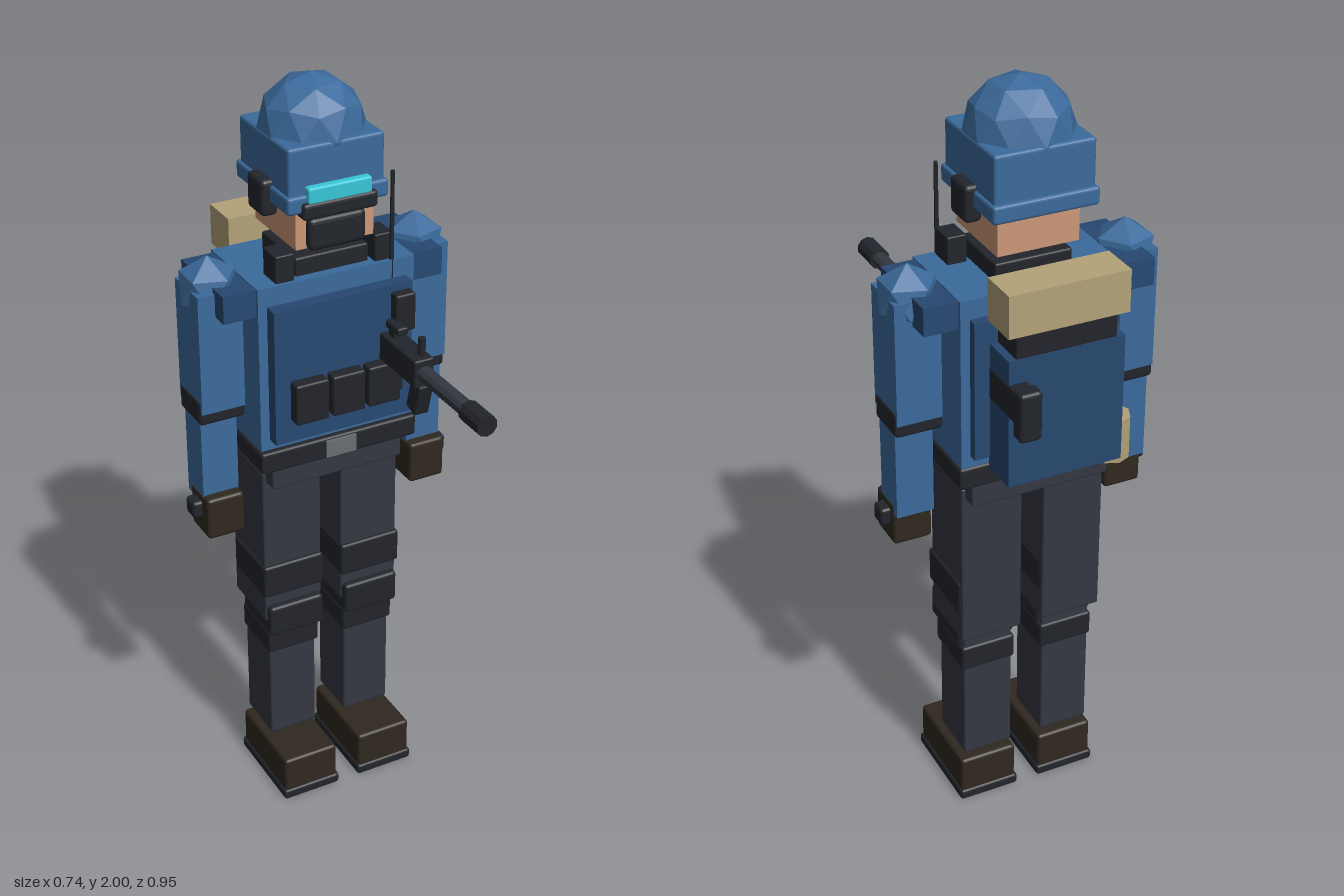
import * as THREE from 'three';
import { RoundedBoxGeometry } from 'three/addons/geometries/RoundedBoxGeometry.js';

const mat = (color) => new THREE.MeshStandardMaterial({ color, flatShading: true });
const M = {
  blue: mat(0x3b6a9b), navy: mat(0x274870), trouser: mat(0x343841), black: mat(0x22252b),
  brown: mat(0x30281f), tan: mat(0xb3a278), skin: mat(0xcb9878), visor: mat(0x38c6d8), steel: mat(0x6b6e72),
};

export function createModel() {
  const root = new THREE.Group();
  root.name = 'armouredTrooper';

  const add = (name, geo, m, x, y, z, parent = root) => {
    const mesh = new THREE.Mesh(geo, M[m]);
    mesh.name = name;
    mesh.position.set(x, y, z);
    parent.add(mesh);
    return mesh;
  };
  // Box given by its limits; r is the radius of softened edges
  const box = (name, m, [x0, x1], [y0, y1], [z0, z1], r = 0, parent = root) => {
    const s = [x1 - x0, y1 - y0, z1 - z0];
    const geo = r ? new RoundedBoxGeometry(...s, 2, r) : new THREE.BoxGeometry(...s);
    return add(name, geo, m, (x0 + x1) / 2, (y0 + y1) / 2, (z0 + z1) / 2, parent);
  };
  const group = (name) => {
    const g = new THREE.Group();
    g.name = name;
    root.add(g);
    return g;
  };

  // Legs and arms, mirrored
  for (const s of [1, -1]) {
    const side = s > 0 ? 'left' : 'right';
    const leg = group(side + 'Leg');
    const X = (a, b) => (s > 0 ? [a, b] : [-b, -a]);
    box('sole', 'black', X(0.03, 0.197), [0, 0.03], [-0.228, 0.045], 0.008, leg);
    box('boot', 'brown', X(0.035, 0.192), [0.02, 0.13], [-0.223, 0.04], 0.01, leg);
    box('shin', 'trouser', X(0.045, 0.18), [0.15, 0.58], [-0.215, -0.068], 0.006, leg);
    box('shinStrap', 'black', X(0.038, 0.186), [0.43, 0.5], [-0.22, -0.058], 0.008, leg);
    box('kneePad', 'black', X(0.034, 0.19), [0.5, 0.59], [-0.205, -0.036], 0.01, leg);
    box('thigh', 'trouser', X(0.03, 0.195), [0.54, 1.0], [-0.24, -0.057], 0.006, leg);
    box('thighStrap', 'black', X(0.028, 0.2), [0.62, 0.715], [-0.23, -0.047], 0.008, leg);

    const arm = group(side + 'Arm');
    box('upperArm', 'blue', X(0.228, 0.345), [1.2, 1.52], [-0.208, -0.077], 0, arm);
    box('elbowPad', 'black', X(0.224, 0.348), [1.165, 1.232], [-0.205, -0.083], 0.01, arm);
    box('forearm', 'blue', X(0.245, 0.343), [0.93, 1.18], [-0.187, -0.095], 0, arm);
    box('glove', 'brown', X(0.243, 0.345), [0.84, 0.957], [-0.17, -0.065], 0.01, arm);
    box('gloveKnob', 'black', X(0.335, 0.37), [0.89, 0.938], [-0.15, -0.1], 0.01, arm);
    box('shoulderBlock', 'navy', X(0.2, 0.3), [1.46, 1.532], [-0.27, -0.03], 0, arm);
    const pad = add('shoulderPad', new THREE.IcosahedronGeometry(0.08), 'blue', s * 0.285, 1.51, -0.148, arm);
    pad.rotation.z = s * 0.5536; // one corner straight up
  }

  // Hips, belt and torso
  box('hips', 'trouser', [-0.185, 0.185], [0.97, 1.04], [-0.28, -0.017], 0.006);
  box('belt', 'black', [-0.22, 0.22], [1.03, 1.09], [-0.287, -0.003], 0.008);
  box('buckle', 'steel', [-0.042, 0.042], [1.037, 1.083], [-0.293, 0.004]);
  box('torso', 'blue', [-0.214, 0.214], [1.08, 1.535], [-0.282, -0.02]);
  box('chestPlate', 'navy', [-0.19, 0.19], [1.12, 1.485], [-0.05, 0.016]);
  box('backPlate', 'navy', [-0.19, 0.19], [1.12, 1.485], [-0.305, -0.25]);
  for (const x of [-0.103, -0.002, 0.098])
    box('chestPouch', 'black', [x - 0.045, x + 0.045], [1.18, 1.29], [0, 0.05], 0.006);
  box('radio', 'black', [0.13, 0.185], [1.365, 1.467], [0, 0.045], 0.006);
  add('antenna', new THREE.CylinderGeometry(0.005, 0.006, 0.31, 6), 'black', 0.153, 1.612, -0.025);

  // Collar and neck
  box('collar', 'black', [-0.1, 0.1], [1.53, 1.582], [-0.23, -0.045], 0.006);
  for (const x of [-0.135, 0.135])
    box('collarPost', 'black', [x - 0.025, x + 0.025], [1.53, 1.605], [-0.1, -0.03], 0.004);
  add('neck', new THREE.CylinderGeometry(0.055, 0.055, 0.06, 8), 'skin', 0, 1.595, -0.145);

  // Head, mask and helmet
  box('head', 'skin', [-0.105, 0.105], [1.61, 1.76], [-0.25, -0.032]);
  box('mask', 'black', [-0.077, 0.077], [1.605, 1.69], [-0.08, -0.012], 0.015);
  box('goggleFrame', 'black', [-0.1, 0.1], [1.695, 1.738], [-0.06, 0.004], 0.01);
  box('goggleLens', 'visor', [-0.085, 0.085], [1.733, 1.775], [-0.05, 0.0], 0.006);
  box('helmetShell', 'blue', [-0.128, 0.128], [1.74, 1.872], [-0.282, -0.02], 0.008);
  box('helmetBrim', 'blue', [-0.135, 0.135], [1.71, 1.755], [-0.293, -0.01], 0.008);
  add('helmetDome', new THREE.IcosahedronGeometry(0.133, 1), 'blue', 0, 1.867, -0.15).rotation.z = 0.5536;
  for (const x of [-0.134, 0.134])
    box('earMuff', 'black', [x - 0.022, x + 0.022], [1.675, 1.768], [-0.19, -0.105], 0.012);

  // Backpack
  box('backpack', 'navy', [-0.15, 0.15], [1.09, 1.425], [-0.402, -0.3]);
  box('packLid', 'black', [-0.13, 0.13], [1.42, 1.49], [-0.4, -0.3], 0.006);
  box('bedroll', 'tan', [-0.155, 0.155], [1.487, 1.595], [-0.41, -0.303]);
  add('canteen', new THREE.CylinderGeometry(0.047, 0.047, 0.115, 8), 'tan', -0.168, 1.108, -0.32);

  // Rifle, lying along z
  const gun = group('rifle');
  const rod = (name, r, z0, z1, m) => {
    const t = add(name, new THREE.CylinderGeometry(r, r, z1 - z0, 10), m, 0.127, 1.325, (z0 + z1) / 2, gun);
    t.rotation.x = Math.PI / 2;
  };
  rod('barrel', 0.021, 0.17, 0.42, 'trouser');
  rod('muzzle', 0.028, 0.393, 0.476, 'black');
  box('receiver', 'black', [0.1, 0.154], [1.288, 1.363], [-0.05, 0.19], 0.006, gun);
  box('stock', 'black', [0.102, 0.152], [1.28, 1.365], [-0.44, -0.04], 0.006, gun);
  box('buttPad', 'black', [0.099, 0.156], [1.247, 1.375], [-0.475, -0.43], 0.01, gun);
  box('magazine', 'black', [0.108, 0.148], [1.21, 1.3], [0.145, 0.19], 0.004, gun).rotation.x = 0.25;
  box('opticMount', 'black', [0.115, 0.14], [1.355, 1.39], [0.035, 0.06], 0, gun);
  box('optic', 'black', [0.112, 0.142], [1.378, 1.4], [0.02, 0.085], 0.006, gun);
  add('frontSight', new THREE.CylinderGeometry(0.01, 0.01, 0.045, 8), 'black', 0.127, 1.393, 0.173, gun);
  box('chargingHandle', 'black', [0.145, 0.167], [1.325, 1.35], [0.035, 0.085], 0.004, gun);
  box('grip', 'black', [0.108, 0.148], [1.21, 1.3], [0.01, 0.052], 0.004, gun);
  return root;
}
